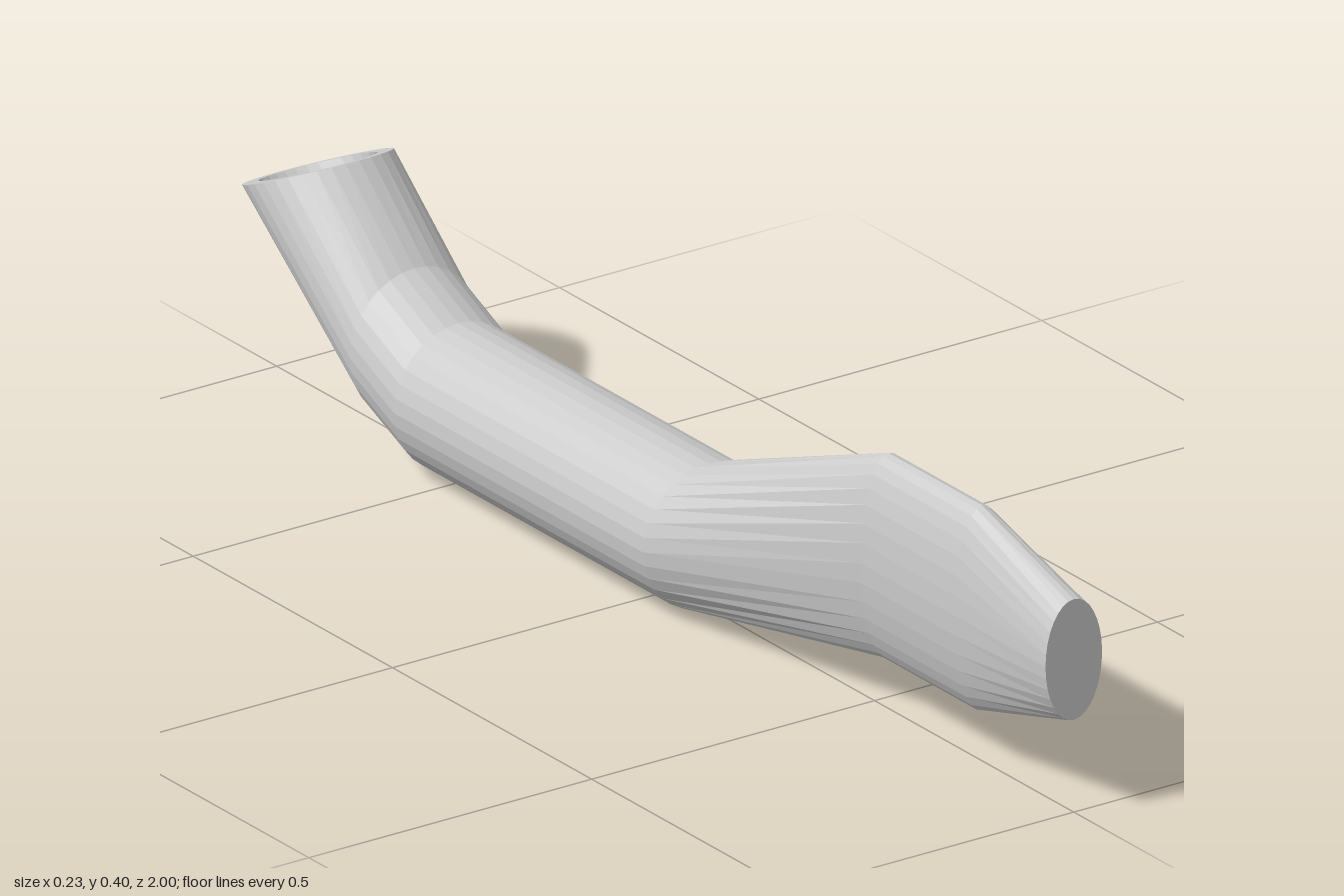
import * as THREE from 'three';

const SIDES = 32;
const material = new THREE.MeshStandardMaterial({ color: 0xcccccc, flatShading: true });

// Each section is an ellipse: [top z, top y, bottom z, bottom y, half width].
function loft(name, sections, { capStart = false, capEnd = false } = {}) {
  const positions = [];
  const index = [];
  const centre = ([tz, ty, bz, by]) => [0, (ty + by) / 2, (tz + bz) / 2];
  for (const s of sections) {
    const [, cy, cz] = centre(s);
    for (let j = 0; j < SIDES; j++) {
      const a = (j / SIDES) * Math.PI * 2;
      positions.push(
        s[4] * Math.cos(a),
        cy + (s[1] - cy) * Math.sin(a),
        cz + (s[0] - cz) * Math.sin(a)
      );
    }
  }
  const last = sections.length - 1;
  for (let i = 0; i < last; i++) {
    for (let j = 0; j < SIDES; j++) {
      const k = (j + 1) % SIDES;
      const a = i * SIDES + j, b = i * SIDES + k;
      const c = a + SIDES, d = b + SIDES;
      index.push(a, c, b, b, c, d);
    }
  }
  const addCap = (ring, flip) => {
    const mid = positions.length / 3;
    positions.push(...centre(sections[ring]));
    for (let j = 0; j < SIDES; j++) {
      const a = ring * SIDES + j, b = ring * SIDES + (j + 1) % SIDES;
      index.push(mid, flip ? b : a, flip ? a : b);
    }
  };
  if (capStart) addCap(0, false);
  if (capEnd) addCap(last, true);

  const geometry = new THREE.BufferGeometry();
  geometry.setAttribute('position', new THREE.Float32BufferAttribute(positions, 3));
  geometry.setIndex(index);
  geometry.computeVertexNormals();
  const mesh = new THREE.Mesh(geometry, material);
  mesh.name = name;
  return mesh;
}

export function createModel() {
  const group = new THREE.Group();
  group.name = 'pipe';

  // Sections shared by neighbouring parts
  const neck = [0.535, 0.402, 0.535, 0.08, 0.05];
  const shankFront = [0.08, 0.227, 0.08, 0, 0.113];
  const shankBack = [-0.545, 0.227, -0.545, 0, 0.113];
  const elbowEnd = [-0.655, 0.275, -0.655, 0.045, 0.113];

  // Bowl rim, hollow and floor
  const rim = [-0.793, 0.396, -1, 0.305, 0.113];
  const innerRim = [-0.813, 0.387, -0.98, 0.314, 0.088];
  const floor = [-0.693, 0.294, -0.86, 0.221, 0.088];

  group.add(
    loft('mouthpiece', [
      [1, 0.335, 1, 0.145, 0.05],
      [0.77, 0.402, 0.77, 0.08, 0.05],
      neck
    ], { capStart: true }),
    loft('taper', [neck, shankFront]),
    loft('shank', [shankFront, shankBack]),
    loft('elbow', [shankBack, elbowEnd]),
    loft('bowl', [elbowEnd, rim, innerRim, floor], { capEnd: true })
  );
  return group;
}
